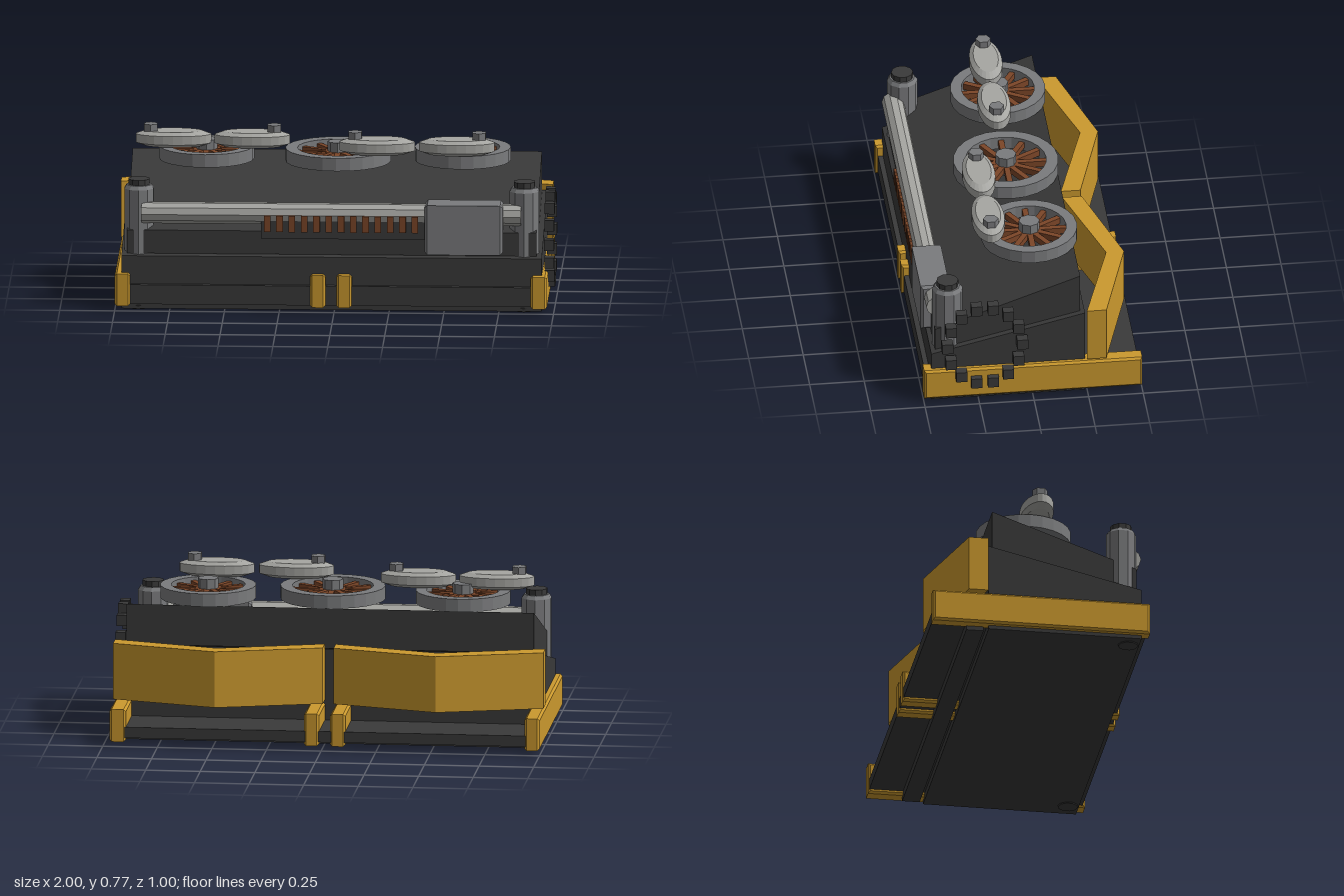
import * as THREE from 'three';

const mat = (name, color) => {
  const m = new THREE.MeshStandardMaterial({ color, flatShading: true });
  m.name = name;
  return m;
};

export function createModel() {
  const gold = mat('gold', 0xcb992e);
  const dark = mat('charcoal', 0x3a3a3a);
  const grey = mat('mid grey', 0x7a7b7d);
  const light = mat('light grey', 0xa6a6a2);
  const copper = mat('copper', 0x7c4628);

  const model = new THREE.Group();
  const add = (name, geo, material, x = 0, y = 0, z = 0, parent = model) => {
    const m = new THREE.Mesh(geo, material);
    m.name = name;
    m.position.set(x, y, z);
    parent.add(m);
    return m;
  };
  // Box given by its limits
  const box = (name, material, x0, x1, y0, y1, z0, z1) =>
    add(name, new THREE.BoxGeometry(x1 - x0, y1 - y0, z1 - z0), material,
      (x0 + x1) / 2, (y0 + y1) / 2, (z0 + z1) / 2);
  // Side profile of [z, y] points extruded along x, with an optional chamfer
  const prism = (name, material, pts, x0, x1, b = 0) => {
    const shape = new THREE.Shape(pts.map(([z, y]) => new THREE.Vector2(-z, y)));
    const geo = new THREE.ExtrudeGeometry(shape, {
      depth: x1 - x0 - 2 * b, bevelEnabled: b > 0, bevelSize: b, bevelThickness: b,
      bevelOffset: -b, bevelSegments: 1,
    });
    geo.rotateY(Math.PI / 2);
    return add(name, geo, material, x0 + b, 0, 0);
  };
  const rect = (z0, z1, y0, y1) => [[z0, y0], [z1, y0], [z1, y1], [z0, y1]];
  const lathe = (pts, sides) =>
    new THREE.LatheGeometry(pts.map(([r, y]) => new THREE.Vector2(r, y)), sides);

  // Stacked wedge hull
  prism('lowerHull', dark, [[0.465, 0.005], [0.465, 0.25], [-0.24, 0.42], [-0.24, 0.005]], -0.97, 0.945);
  prism('upperHull', dark, [[0.445, 0.258], [0.445, 0.366], [-0.22, 0.605], [-0.22, 0.418]], -0.945, 0.92);
  box('frontSill', dark, -0.95, 0.92, 0.03, 0.12, 0.4, 0.488);
  box('rearPlate', dark, -0.95, 0.92, 0.04, 0.09, -0.495, -0.23);
  box('rearCrossbar', dark, -0.95, 0.92, 0.002, 0.05, -0.34, -0.26);

  // Skid rails
  for (const [x0, x1] of [[-1, -0.93], [-0.11, -0.04], [0.01, 0.08], [0.895, 0.97]])
    prism('skidRail', gold, rect(-0.5, 0.5, 0.022, 0.172), x0, x1, 0.01);

  // Rear chevron guards
  for (const [x0, x1] of [[-1, -0.04], [0.01, 0.97]]) {
    const mid = (x0 + x1) / 2;
    const pts = [[x0, 0.245], [x1, 0.245], [x1, 0.335], [mid, 0.472], [x0, 0.335]];
    const s = new THREE.Shape();
    pts.forEach(([x, z], i) => (i ? s.lineTo(x, z) : s.moveTo(x, z)));
    // inner side follows the same bend
    s.lineTo(x0, 0.245);
    s.lineTo(mid, 0.39);
    s.curves.length = 0;
    s.setFromPoints([[x0, 0.245], [mid, 0.39], [x1, 0.245], [x1, 0.335], [mid, 0.472], [x0, 0.335]]
      .map(([x, z]) => new THREE.Vector2(x, z)));
    const geo = new THREE.ExtrudeGeometry(s, { depth: 0.26, bevelEnabled: false });
    geo.rotateX(-Math.PI / 2);
    add('rearGuard', geo, gold, 0, 0.185, 0);
  }

  // Spoked fans
  for (const [x, z, r] of [[-0.6, -0.022, 0.217], [0, 0.012, 0.24], [0.567, -0.028, 0.219]]) {
    const fan = new THREE.Group();
    fan.name = 'fan';
    fan.position.set(x, 0, z);
    model.add(fan);
    const inner = r * 0.77;
    add('fanRing', lathe([[inner, 0.605], [r, 0.605], [r, 0.665], [inner, 0.665], [inner, 0.605]], 24), grey, 0, 0, 0, fan);
    add('fanHub', new THREE.CylinderGeometry(0.048, 0.048, 0.09, 8), grey, 0, 0.65, 0, fan);
    for (let i = 0; i < 12; i++) {
      const geo = new THREE.BoxGeometry(inner, 0.03, 0.026);
      geo.translate(inner / 2, 0, 0);
      add('fanSpoke', geo, copper, 0, 0.635, 0, fan).rotation.y = (i * Math.PI) / 6;
    }
  }

  // Oval pads with hex bolts
  const pad = lathe([[0, 0.67], [0.13, 0.67], [0.172, 0.685], [0.172, 0.725], [0.13, 0.74], [0, 0.74]], 24);
  pad.scale(1, 1, 0.43);
  for (const [x, z, bolt] of [[-0.75, 0.015, -0.853], [-0.39, 0.02, -0.29], [0.183, 0.158, 0.083], [0.547, 0.158, 0.648]]) {
    add('ovalPad', pad, light, x, 0, z);
    add('hexBolt', new THREE.CylinderGeometry(0.035, 0.035, 0.05, 6), grey, bolt, 0.746, z);
  }

  // Corner posts with caps and feet
  for (const x of [-0.893, 0.863]) {
    add('cornerPost', lathe([[0, 0.2], [0.07, 0.2], [0.07, 0.55], [0.058, 0.567], [0, 0.567]], 10), grey, x, 0, 0.382);
    add('postCap', new THREE.CylinderGeometry(0.05, 0.05, 0.03, 10), dark, x, 0.578, 0.382);
    add('postFoot', new THREE.CylinderGeometry(0.055, 0.045, 0.02, 10), dark, x, 0.01, 0.415);
  }

  // Front shaft with gearbox
  const shaft = new THREE.CylinderGeometry(0.05, 0.05, 1.73, 10);
  shaft.rotateZ(Math.PI / 2);
  add('shaft', shaft, light, -0.015, 0.445, 0.427);
  prism('gearbox', grey, rect(0.36, 0.493, 0.27, 0.5), 0.412, 0.768, 0.012);

  // Toothed rack under the shaft
  box('rackBack', dark, -0.335, 0.415, 0.335, 0.44, 0.4, 0.468);
  for (let i = 0; i < 14; i++) {
    const x = -0.305 + i * 0.056;
    if (x < 0.41) box('rackTooth', copper, x - 0.015, x + 0.015, 0.37, 0.445, 0.43, 0.488);
  }

  // Side loop of chain blocks
  for (let i = 0; i < 14; i++) {
    const a = (i * Math.PI) / 7;
    add('chainBlock', new THREE.BoxGeometry(0.045, 0.05, 0.05), dark,
      0.977, 0.304 + 0.2 * Math.sin(a), 0.224 + 0.172 * Math.cos(a));
  }
  return model;
}
